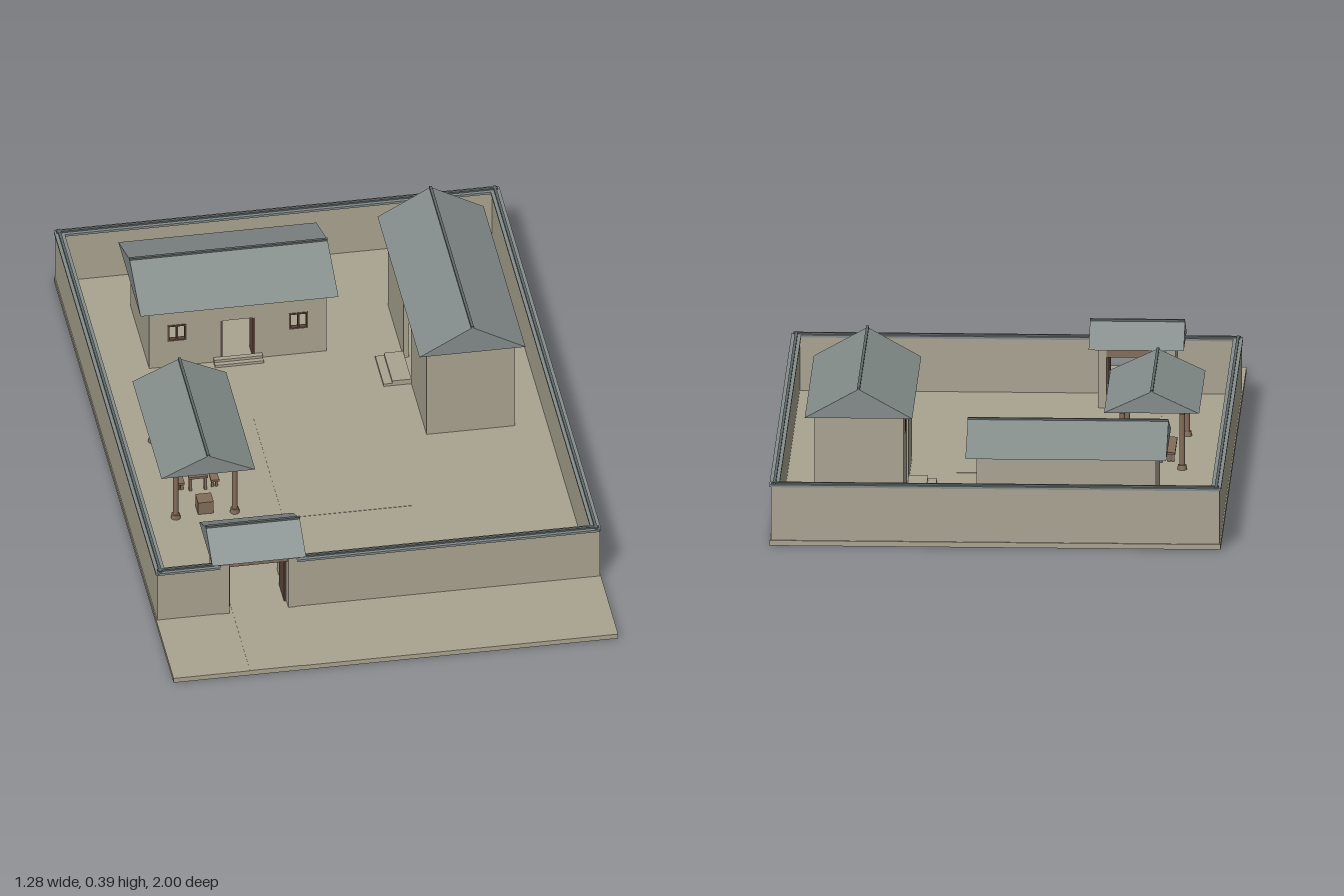
import * as THREE from 'three';

const mat = (name, color, extra = {}) => {
  const m = new THREE.MeshStandardMaterial({ color });
  m.name = name;
  return Object.assign(m, extra);
};

export function createModel() {
  const plaster = mat('plaster', 0xaaa491);
  const slate = mat('slate', 0x848d8b);
  const ridgeSlate = mat('dark slate', 0x5f6867);
  const wood = mat('wood', 0x846d5a);
  const darkWood = mat('dark wood', 0x5e483c);

  const model = new THREE.Group();
  model.name = 'walledCourtyard';
  const G = 0.015; // ground level

  const add = (name, geometry, material, parent = model) => {
    const mesh = new THREE.Mesh(geometry, material);
    mesh.name = name;
    parent.add(mesh);
    return mesh;
  };
  // box given by its limits on each axis
  const box = (name, material, [x0, x1], [y0, y1], [z0, z1], parent) => {
    const g = new THREE.BoxGeometry(x1 - x0, y1 - y0, z1 - z0);
    g.translate((x0 + x1) / 2, (y0 + y1) / 2, (z0 + z1) / 2);
    return add(name, g, material, parent);
  };
  const group = (name, x, z, turn = 0) => {
    const g = new THREE.Group();
    g.name = name;
    g.position.set(x, 0, z);
    g.rotation.y = turn;
    model.add(g);
    return g;
  };
  // solid gable roof with its ridge along local x
  const gableRoof = (parent, length, depth, eave, ridge) => {
    const s = new THREE.Shape();
    s.moveTo(-depth / 2, eave);
    s.lineTo(depth / 2, eave);
    s.lineTo(0, ridge);
    s.closePath();
    const g = new THREE.ExtrudeGeometry(s, { depth: length, bevelEnabled: false });
    g.translate(0, 0, -length / 2);
    g.rotateY(Math.PI / 2);
    add('roof', g, slate, parent);
    box('roofRidge', ridgeSlate, [-length / 2, length / 2], [ridge - 0.005, ridge + 0.004], [-0.004, 0.004], parent);
  };
  const rectHole = (x0, x1, y0, y1) => {
    const p = new THREE.Path();
    p.moveTo(x0, y0);
    p.lineTo(x0, y1);
    p.lineTo(x1, y1);
    p.lineTo(x1, y0);
    p.closePath();
    return p;
  };

  // ground slab, courtyard paving and gate path
  box('ground', plaster, [-0.64, 0.64], [0, G], [-1, 1]);
  box('courtyardPaving', plaster, [-0.2, 0.17], [G, G + 0.001], [-0.22, 0.28]);
  box('gatePath', plaster, [-0.42, -0.27], [G, G + 0.001], [0.4, 1]);

  // perimeter walls with tiled copings
  const runs = [
    ['backWall', [-0.635, 0.635], [-0.995, -0.975]],
    ['leftWall', [0.617, 0.637], [-0.995, 0.71]],
    ['rightWall', [-0.637, -0.617], [-0.995, 0.71]],
    ['frontWallRight', [-0.635, -0.455], [0.69, 0.71]],
    ['frontWallLeft', [-0.235, 0.635], [0.69, 0.71]],
  ];
  for (const [name, xs, zs] of runs) {
    box(name, plaster, xs, [G, 0.171], zs);
    const alongX = xs[1] - xs[0] > zs[1] - zs[0];
    const grow = ([a, b], e) => [a - e, b + e];
    const ex = alongX ? 0 : 0.004, ez = alongX ? 0.004 : 0;
    box(name + 'Coping', slate, grow(xs, ex), [0.171, 0.178], grow(zs, ez));
    box(name + 'CopingRidge', ridgeSlate, grow(xs, alongX ? 0 : -0.006), [0.178, 0.183], grow(zs, alongX ? -0.006 : 0));
  }

  // hollow house whose door side faces local +z
  const house = (o) => {
    const h = group(o.name, o.x, o.z, o.turn);
    const L = o.length / 2, D = o.depth / 2, t = 0.015;
    const s = new THREE.Shape();
    const dw = o.doorWidth / 2;
    [[-L, G], [-dw, G], [-dw, o.doorTop], [dw, o.doorTop], [dw, G], [L, G], [L, o.eave], [-L, o.eave]]
      .forEach(([x, y], i) => (i ? s.lineTo(x, y) : s.moveTo(x, y)));
    const w = o.windowSize / 2;
    for (const cx of [-o.windowX, o.windowX]) s.holes.push(rectHole(cx - w, cx + w, o.windowY - w, o.windowY + w));
    const front = new THREE.ExtrudeGeometry(s, { depth: t, bevelEnabled: false });
    front.translate(0, 0, D - t);
    add('frontWall', front, plaster, h);
    box('rearWall', plaster, [-L, L], [G, o.eave], [-D, -D + t], h);
    for (const side of [-1, 1]) {
      const xs = side < 0 ? [-L, -L + t] : [L - t, L];
      box('sideWall', plaster, xs, [G, o.eave], [-D + t, D - t], h);
      // window frame with a central bar
      const cx = side * o.windowX, f = 0.005, zs = [D - 0.012, D + 0.002];
      for (const k of [-1, 0, 1]) {
        const bx = cx + k * (w - f / 2);
        box('windowBar', darkWood, [bx - f / 2, bx + f / 2], [o.windowY - w, o.windowY + w], zs, h);
        if (k) {
          const by = o.windowY + k * (w - f / 2);
          box('windowRail', darkWood, [cx - w, cx + w], [by - f / 2, by + f / 2], zs, h);
        }
      }
      // door leaf swung inwards
      if (o.leaves) {
        const lx = side * (dw - 0.003);
        box('doorLeaf', darkWood, [lx - 0.003, lx + 0.003], [G, o.doorTop], [D - 0.06, D - 0.002], h);
      }
    }
    o.steps.forEach((reach, i) =>
      box('step', plaster, [-0.07, 0.07], [G, G + 0.008 * (i + 1)], [D, D + reach], h));
    gableRoof(h, o.roofLength, o.roofDepth, o.eave, o.ridge);
  };

  house({
    name: 'mainHall', x: -0.195, z: -0.665, turn: 0, length: 0.51, depth: 0.31,
    eave: 0.22, ridge: 0.29, roofLength: 0.57, roofDepth: 0.37,
    doorWidth: 0.1, doorTop: 0.155, leaves: true,
    windowX: 0.175, windowY: 0.13, windowSize: 0.055, steps: [0.029, 0.015],
  });
  house({
    name: 'tallHouse', x: 0.398, z: -0.38, turn: -Math.PI / 2, length: 0.645, depth: 0.255,
    eave: 0.305, ridge: 0.39, roofLength: 0.7, roofDepth: 0.305,
    doorWidth: 0.12, doorTop: 0.225, leaves: false,
    windowX: 0.22, windowY: 0.26, windowSize: 0.05, steps: [0.08, 0.055],
  });

  // gatehouse with open doors
  const gate = group('gatehouse', -0.345, 0.61);
  for (const s of [-1, 1]) {
    box('gateSideWall', plaster, s < 0 ? [-0.11, -0.085] : [0.085, 0.11], [G, 0.19], [-0.085, 0.102], gate);
    const x = s * 0.081;
    box('gateDoorLeaf', darkWood, [x - 0.003, x + 0.003], [G, 0.163], [-0.01, 0.07], gate);
  }
  box('gateLintel', wood, [-0.085, 0.085], [0.163, 0.19], [0.06, 0.085], gate);
  box('gateRearLintel', wood, [-0.085, 0.085], [0.163, 0.19], [-0.085, -0.065], gate);
  gableRoof(gate, 0.27, 0.22, 0.19, 0.25);

  // open pavilion on four posts, its ridge along the courtyard
  const pavilion = group('pavilion', -0.415, 0.033, -Math.PI / 2);
  gableRoof(pavilion, 0.485, 0.27, 0.192, 0.255);
  for (const z of [-0.085, 0.085]) {
    box('eaveBeam', wood, [-0.205, 0.205], [0.18, 0.192], [z - 0.007, z + 0.007], pavilion);
    for (const x of [-0.19, 0.19]) {
      const post = add('post', new THREE.CylinderGeometry(0.008, 0.008, 0.167, 12), wood, pavilion);
      post.position.set(x, G + 0.0835, z);
      const base = add('postBase', new THREE.CylinderGeometry(0.012, 0.014, 0.014, 12), wood, pavilion);
      base.position.set(x, G + 0.007, z);
    }
  }
  for (const x of [-0.19, 0.19]) box('crossBeam', wood, [x - 0.006, x + 0.006], [0.18, 0.192], [-0.085, 0.085], pavilion);

  // table, benches and crate under the pavilion
  const trestle = (name, cx, width, z0, z1, top) => {
    const w = width / 2;
    box(name + 'Top', wood, [cx - w, cx + w], [top - 0.007, top], [z0, z1]);
    for (const x of [cx - w + 0.006, cx + w - 0.006])
      for (const z of [z0 + 0.012, z1 - 0.012])
        box(name + 'Leg', wood, [x - 0.004, x + 0.004], [G, top - 0.007], [z - 0.004, z + 0.004]);
  };
  trestle('table', -0.415, 0.055, -0.09, 0.11, 0.067);
  trestle('bench', -0.365, 0.024, -0.08, 0.1, 0.043);
  trestle('bench', -0.465, 0.024, -0.08, 0.1, 0.043);
  box('crate', wood, [-0.435, -0.39], [G, 0.055], [0.175, 0.22]);

  return model;
}
